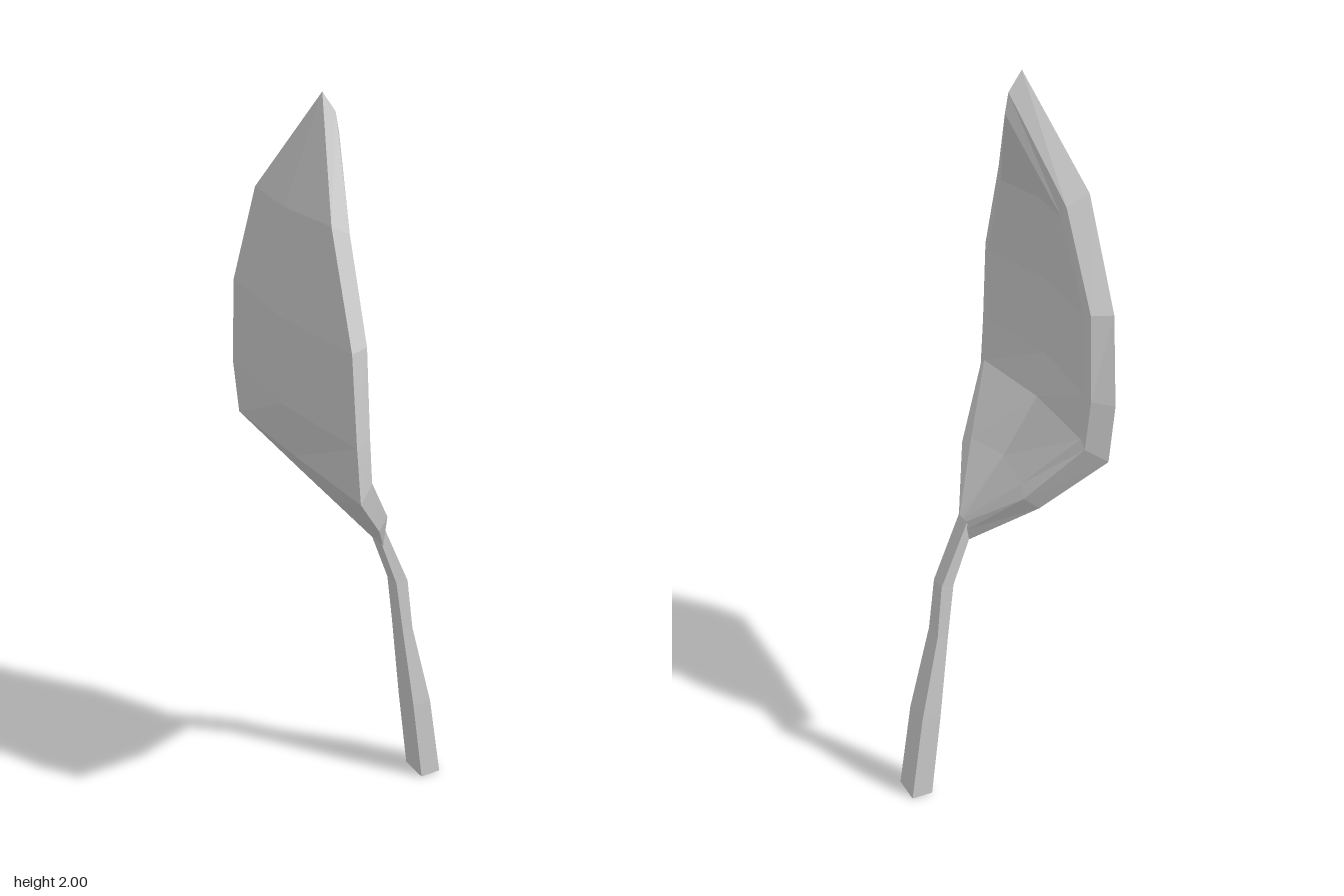
import * as THREE from 'three';

// Skin closed rings of [x, y, z] points, listed bottom to top and counterclockwise from above
function loft(name, rings, material) {
  const n = rings[0].length, index = [];
  for (let i = 0; i < rings.length - 1; i++) {
    for (let j = 0; j < n; j++) {
      const k = (j + 1) % n;
      const a = i * n + j, b = i * n + k, c = a + n, d = b + n;
      index.push(a, b, d, a, d, c);
    }
  }
  // End caps
  const top = (rings.length - 1) * n;
  for (let j = 1; j < n - 1; j++) index.push(0, j + 1, j, top, top + j, top + j + 1);
  const geometry = new THREE.BufferGeometry();
  geometry.setAttribute('position', new THREE.Float32BufferAttribute(rings.flat(2), 3));
  geometry.setIndex(index);
  const flat = geometry.toNonIndexed();
  flat.computeVertexNormals();
  const mesh = new THREE.Mesh(flat, material);
  mesh.name = name;
  return mesh;
}

export function createModel() {
  const group = new THREE.Group();
  group.name = 'spoon';
  const material = new THREE.MeshStandardMaterial({ color: 0xcccccc, flatShading: true });

  // Bowl rows: back spine [x, y], outer rim, bevel and inner rim [x, y, z], inner spine [x, y]
  const rows = [
    [[0.04, 0.79], [0.045, 0.78, 0.028], [0.05, 0.81, 0.026], [0.05, 0.83, 0.02], [0.05, 0.83]],
    [[-0.08, 0.93], [-0.07, 0.93, 0.2], [-0.035, 0.955, 0.18], [-0.045, 0.98, 0.145], [-0.07, 0.99]],
    [[-0.2, 1.09], [-0.195, 1.09, 0.322], [-0.145, 1.12, 0.29], [-0.145, 1.14, 0.268], [-0.165, 1.14]],
    [[-0.232, 1.24], [-0.207, 1.24, 0.325], [-0.155, 1.25, 0.296], [-0.15, 1.26, 0.27], [-0.185, 1.26]],
    [[-0.232, 1.47], [-0.207, 1.47, 0.303], [-0.155, 1.47, 0.282], [-0.15, 1.46, 0.257], [-0.185, 1.46]],
    [[-0.215, 1.74], [-0.195, 1.74, 0.19], [-0.14, 1.71, 0.178], [-0.137, 1.68, 0.16], [-0.16, 1.68]],
    [[-0.11, 2], [-0.11, 2, 0], [-0.075, 1.95, 0], [-0.066, 1.9, 0], [-0.066, 1.9]],
  ];
  const mirror = ([x, y, z]) => [x, y, -z];
  const bowlRings = rows.map(([back, rim, bevel, inner, front]) => [
    [...back, 0], rim, bevel, inner, [...front, 0], mirror(inner), mirror(bevel), mirror(rim),
  ]);
  group.add(loft('bowl', bowlRings, material));

  // Handle sections: back [x, y], front [x, y], half width
  const sections = [
    [[0.17, 0], [0.23, 0], 0.042],
    [[0.14, 0.25], [0.195, 0.25], 0.04],
    [[0.109, 0.5], [0.14, 0.5], 0.028],
    [[0.09, 0.65], [0.125, 0.65], 0.024],
    [[0.04, 0.79], [0.05, 0.83], 0.025],
  ];
  const handleRings = sections.map(([back, front, w]) => [
    [...back, -w], [...back, w], [...front, w], [...front, -w],
  ]);
  group.add(loft('handle', handleRings, material));

  return group;
}
